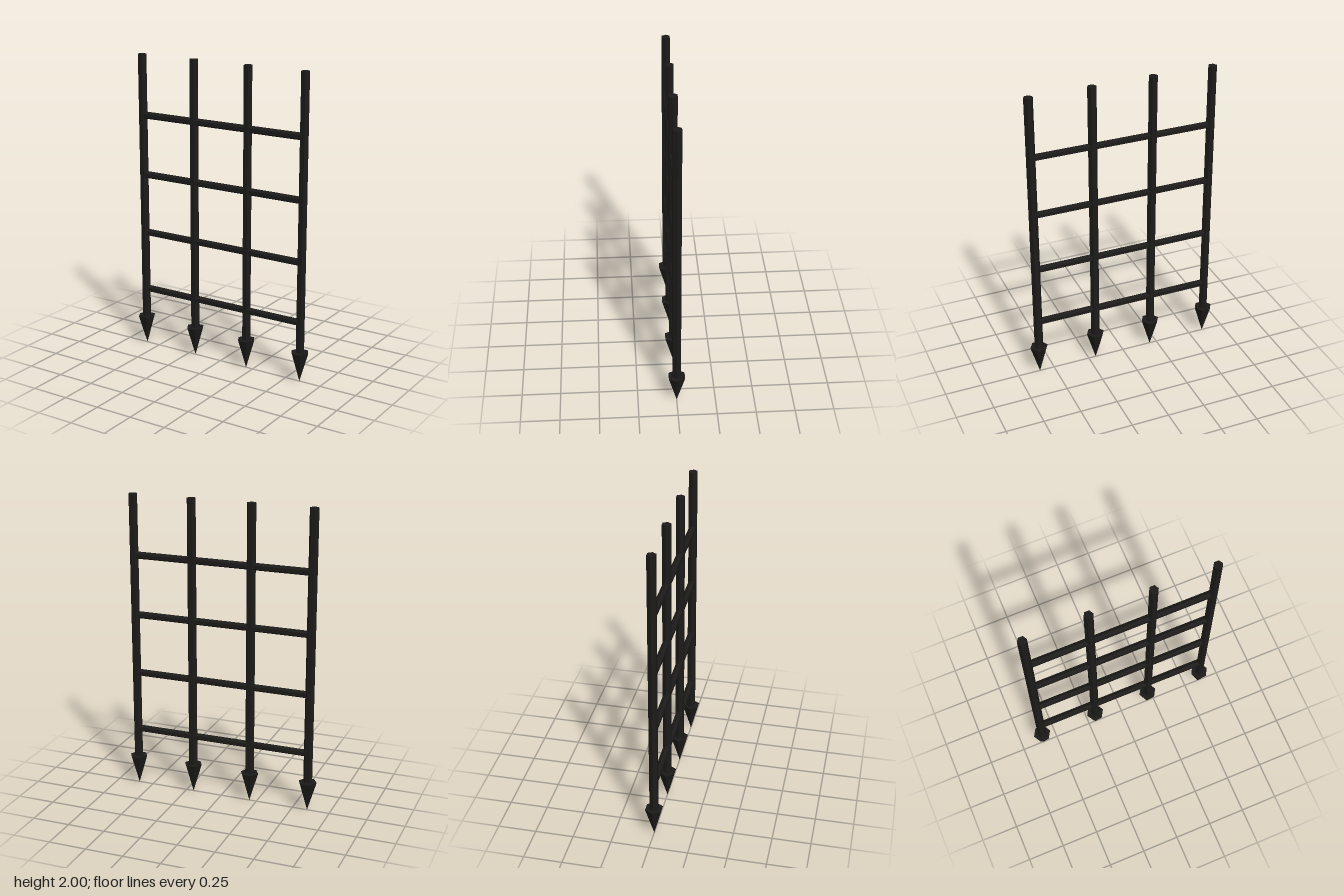
import * as THREE from 'three';

export function createModel() {
  const model = new THREE.Group();
  model.name = 'portcullis';
  const iron = new THREE.MeshStandardMaterial({ color: 0x1c1b1a, flatShading: true });

  // Six-sided bar with its corners turned towards x
  const hexBar = (radius, length) =>
    new THREE.CylinderGeometry(radius, radius, length, 6).rotateY(Math.PI / 6);

  const uprightGeometry = hexBar(0.03, 1.8);
  const spikeGeometry = new THREE.ConeGeometry(0.06, 0.2, 6).rotateX(Math.PI).rotateY(Math.PI / 6);
  const crossbarGeometry = hexBar(0.024, 1.2).rotateZ(Math.PI / 2);

  const add = (name, geometry, x, y) => {
    const mesh = new THREE.Mesh(geometry, iron);
    mesh.name = name;
    mesh.position.set(x, y, 0);
    model.add(mesh);
  };

  for (let i = 0; i < 4; i++) {
    // Upright with a spike at its foot
    const x = -0.6 + i * 0.4;
    add(`upright${i + 1}`, uprightGeometry, x, 1.1);
    add(`spike${i + 1}`, spikeGeometry, x, 0.1);
    // Crossbar running between the outer uprights
    add(`crossbar${i + 1}`, crossbarGeometry, 0, 0.4 + i * 0.4);
  }
  return model;
}
